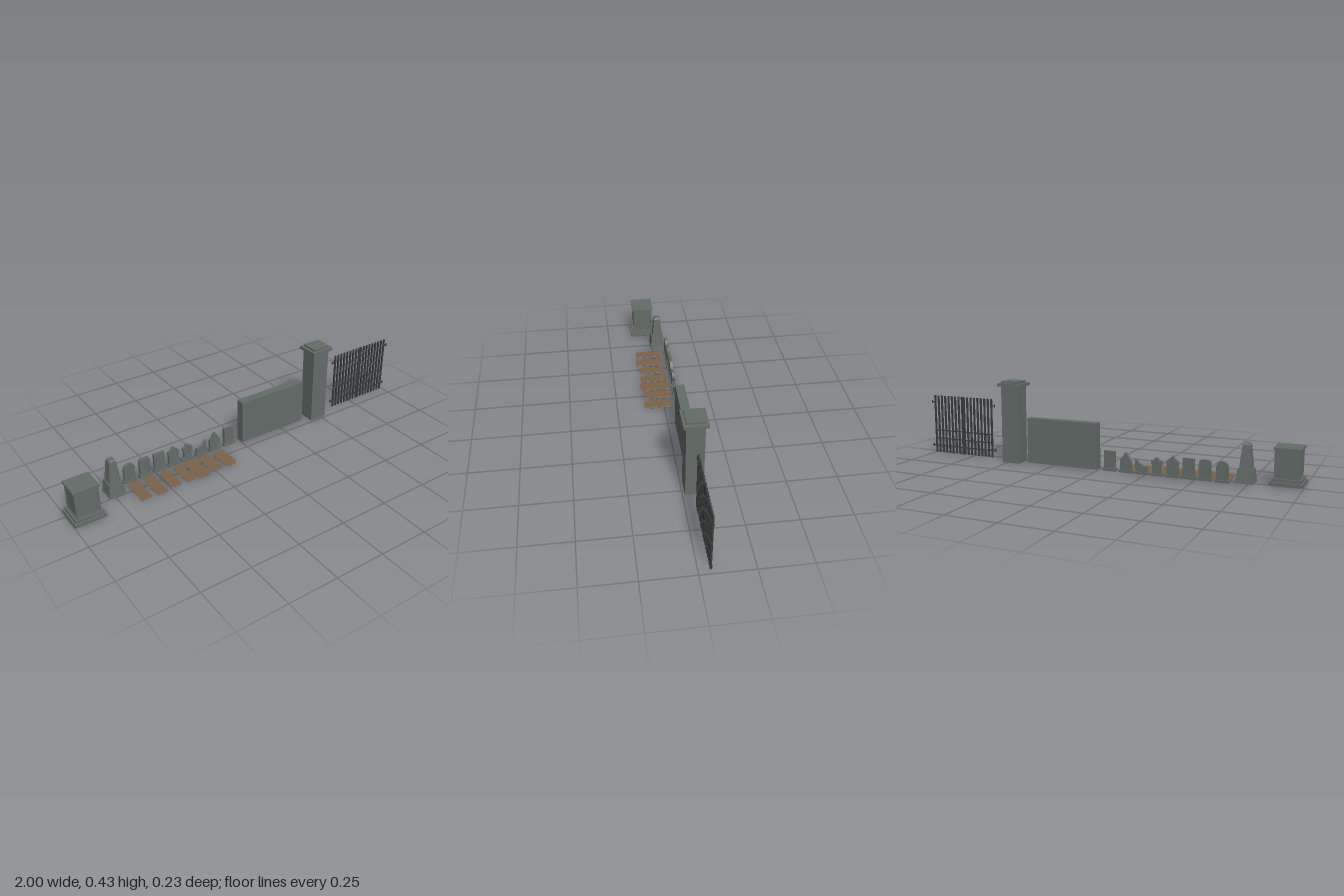
import * as THREE from 'three';

const stone = new THREE.MeshStandardMaterial({ color: 0x646c68, flatShading: true });
const soil = new THREE.MeshStandardMaterial({ color: 0x7b634b, flatShading: true });
const iron = new THREE.MeshStandardMaterial({ color: 0x3c3f3e, flatShading: true });

function add(parent, name, geometry, material, x = 0, y = 0, z = 0) {
  const mesh = new THREE.Mesh(geometry, material);
  mesh.name = name;
  mesh.position.set(x, y, z);
  parent.add(mesh);
  return mesh;
}

// Box standing between heights y0 and y1
function block(parent, name, w, d, y0, y1, x = 0, z = 0, material = stone) {
  return add(parent, name, new THREE.BoxGeometry(w, y1 - y0, d), material, x, (y0 + y1) / 2, z);
}

function group(parent, name, x, z) {
  const g = new THREE.Group();
  g.name = name;
  g.position.set(x, 0, z);
  parent.add(g);
  return g;
}

// Square tapered block with a recessed panel on each side
function panelled(b, t, y0, y1, inset, depth) {
  const pos = [];
  const quad = (p, q, r, s) => [p, q, r, p, r, s].forEach((v) => pos.push(v.x, v.y, v.z));
  const up = new THREE.Vector3(0, 1, 0);
  const ring = (i, d) => [[-1, 0], [1, 0], [1, 1], [-1, 1]].map(([sx, top]) => {
    const y = top ? y1 - i : y0 + i;
    const half = b + (t - b) * (y - y0) / (y1 - y0);
    return new THREE.Vector3(sx * (half - i), y, half - d);
  });
  for (let side = 0; side < 4; side++) {
    const [outer, inner, back] = [ring(0, 0), ring(inset, 0), ring(inset, depth)].map((r) =>
      r.map((v) => v.applyAxisAngle(up, side * Math.PI / 2)));
    for (let i = 0; i < 4; i++) {
      const j = (i + 1) % 4;
      quad(outer[i], outer[j], inner[j], inner[i]);
      quad(inner[i], inner[j], back[j], back[i]);
    }
    quad(...back);
  }
  // Top and bottom
  const level = (h, y) => [[-h, h], [h, h], [h, -h], [-h, -h]].map(([x, z]) => new THREE.Vector3(x, y, z));
  quad(...level(t, y1));
  quad(...level(b, y0).reverse());
  const g = new THREE.BufferGeometry();
  g.setAttribute('position', new THREE.Float32BufferAttribute(pos, 3));
  g.computeVertexNormals();
  return g;
}

// Headstone outlines above the plinth: x, y pairs
const H = 0.029;
const arch = (r, cy, n = 10) => Array.from({ length: n + 1 }, (_, i) => {
  const a = Math.PI * i / n;
  return [r * Math.cos(a), cy + r * Math.sin(a)];
});
const outlines = [
  [[-H, 0.018], [H, 0.018], ...arch(H, 0.08)],
  [[-H, 0.018], [H, 0.018], [H, 0.095], [0.025, 0.104], [0.016, 0.109], [-0.016, 0.109], [-0.025, 0.104], [-H, 0.095]],
  [[-H, 0.018], [H, 0.018], [H, 0.108], [-H, 0.108]],
  [[-H, 0.018], [H, 0.018], [H, 0.086], [0.013, 0.1], [0, 0.114], [-0.013, 0.1], [-H, 0.086]],
  [[-0.021, 0.018], [0.021, 0.018], [0.021, 0.055], [0.028, 0.068], [0.028, 0.08], [0.014, 0.086],
    [0.006, 0.097], [-0.006, 0.097], [-0.014, 0.086], [-0.028, 0.08], [-0.028, 0.068], [-0.021, 0.055]],
  [[-H, 0.018], [H, 0.018], [H, 0.084], [0.02, 0.076], [0.01, 0.062], [-0.004, 0.055], [-0.016, 0.047], [-H, 0.05]],
  [[-H, 0.018], [H, 0.018], [H, 0.068], [0, 0.11], [-H, 0.068]],
  [[-H, 0.018], [H, 0.018], [H, 0.108], [-H, 0.108]],
];

// Low earth mound, optionally with rounded ends
function moundGeometry(w, l, round) {
  const c = round ? w * 0.45 : 0.003;
  const x = w / 2, z = l / 2;
  const s = new THREE.Shape();
  s.moveTo(-x + c, -z).lineTo(x - c, -z);
  s.quadraticCurveTo(x, -z, x, -z + c).lineTo(x, z - c);
  s.quadraticCurveTo(x, z, x - c, z).lineTo(-x + c, z);
  s.quadraticCurveTo(-x, z, -x, z - c).lineTo(-x, -z + c);
  s.quadraticCurveTo(-x, -z, -x + c, -z);
  const g = new THREE.ExtrudeGeometry(s, {
    depth: 0.001, bevelThickness: 0.002, bevelSize: 0.003, bevelOffset: -0.003, bevelSegments: 2, curveSegments: 5,
  });
  return g.rotateX(-Math.PI / 2);
}

export function createModel() {
  const model = new THREE.Group();
  model.name = 'cemeterySet';

  // Pedestal tomb with stepped base and panelled body
  const tomb = group(model, 'tomb', -0.923, 0.041);
  block(tomb, 'lowerStep', 0.154, 0.144, 0.008, 0.024);
  block(tomb, 'upperStep', 0.136, 0.126, 0.024, 0.038);
  add(tomb, 'body', panelled(0.054, 0.054, 0.038, 0.173, 0.005, 0.003), stone).scale.x = 1.08;
  block(tomb, 'capSlab', 0.128, 0.12, 0.173, 0.183);

  // Obelisk: tapered pedestal, shaft and blunt tip
  const obelisk = group(model, 'obelisk', -0.742, -0.03);
  add(obelisk, 'pedestal', panelled(0.042, 0.034, 0.011, 0.078, 0.005, 0.002), stone);
  add(obelisk, 'shaft', panelled(0.029, 0.018, 0.078, 0.19, 0.005, 0.002), stone);
  const tip = new THREE.CylinderGeometry(0.012 * Math.SQRT2, 0.018 * Math.SQRT2, 0.01, 4).rotateY(Math.PI / 4);
  add(obelisk, 'tip', tip, stone, 0, 0.195, 0);

  // Row of headstones on plinths
  const stoneX = [-0.639, -0.556, -0.476, -0.396, -0.316, -0.236, -0.156, -0.07];
  stoneX.forEach((x, i) => {
    const g = group(model, 'headstone' + (i + 1), x, -0.07);
    block(g, 'plinth', 0.07, 0.027, 0.008, 0.019);
    const shape = new THREE.Shape(outlines[i].map(([px, py]) => new THREE.Vector2(px, py)));
    add(g, 'slab', new THREE.ExtrudeGeometry(shape, { depth: 0.015, bevelEnabled: false }), stone, 0, 0, -0.0075);
  });

  // Earth mounds: x, width, front z, rounded ends
  const mounds = [
    [-0.637, 0.057, 0.104, false], [-0.556, 0.057, 0.11, false], [-0.473, 0.055, 0.1, true],
    [-0.393, 0.053, 0.1, false], [-0.321, 0.067, 0.109, false], [-0.243, 0.064, 0.094, false],
    [-0.16, 0.066, 0.104, true],
  ];
  mounds.forEach(([x, w, front, round], i) => {
    const back = round ? 0.04 : 0.045;
    add(model, 'graveMound' + (i + 1), moundGeometry(w, front + back, round), soil, x, 0.009, (front - back) / 2);
  });

  // Wall section
  block(model, 'wall', 0.39, 0.046, 0.008, 0.241, 0.192, -0.06);

  // Gate pillar with overhanging cap
  const pillar = group(model, 'pillar', 0.481, -0.0555);
  block(pillar, 'shaft', 0.096, 0.087, 0, 0.4);
  block(pillar, 'cap', 0.127, 0.117, 0.4, 0.416);
  block(pillar, 'capTop', 0.096, 0.087, 0.416, 0.427);

  // Double iron gate, two mirrored leaves
  const gate = group(model, 'gate', 0.799, -0.0535);
  for (const side of [-1, 1]) {
    const leaf = group(gate, side < 0 ? 'rightLeaf' : 'leftLeaf', 0, 0);
    for (let i = 0; i < 9; i++) {
      block(leaf, 'bar', 0.0085, 0.008, 0.008, 0.322, side * (0.006 + i * 0.0216), 0, iron);
    }
    for (const y of [0.045, 0.086, 0.131]) {
      block(leaf, 'rail', 0.178, 0.005, y - 0.003, y + 0.003, side * 0.092, 0, iron);
    }
    for (const y of [0.046, 0.286]) {
      block(leaf, 'hingeArm', 0.024, 0.005, y - 0.003, y + 0.003, side * 0.187, 0, iron);
      block(leaf, 'hingePin', 0.005, 0.005, y - 0.008, y + 0.008, side * 0.1985, 0, iron);
    }
  }
  return model;
}
